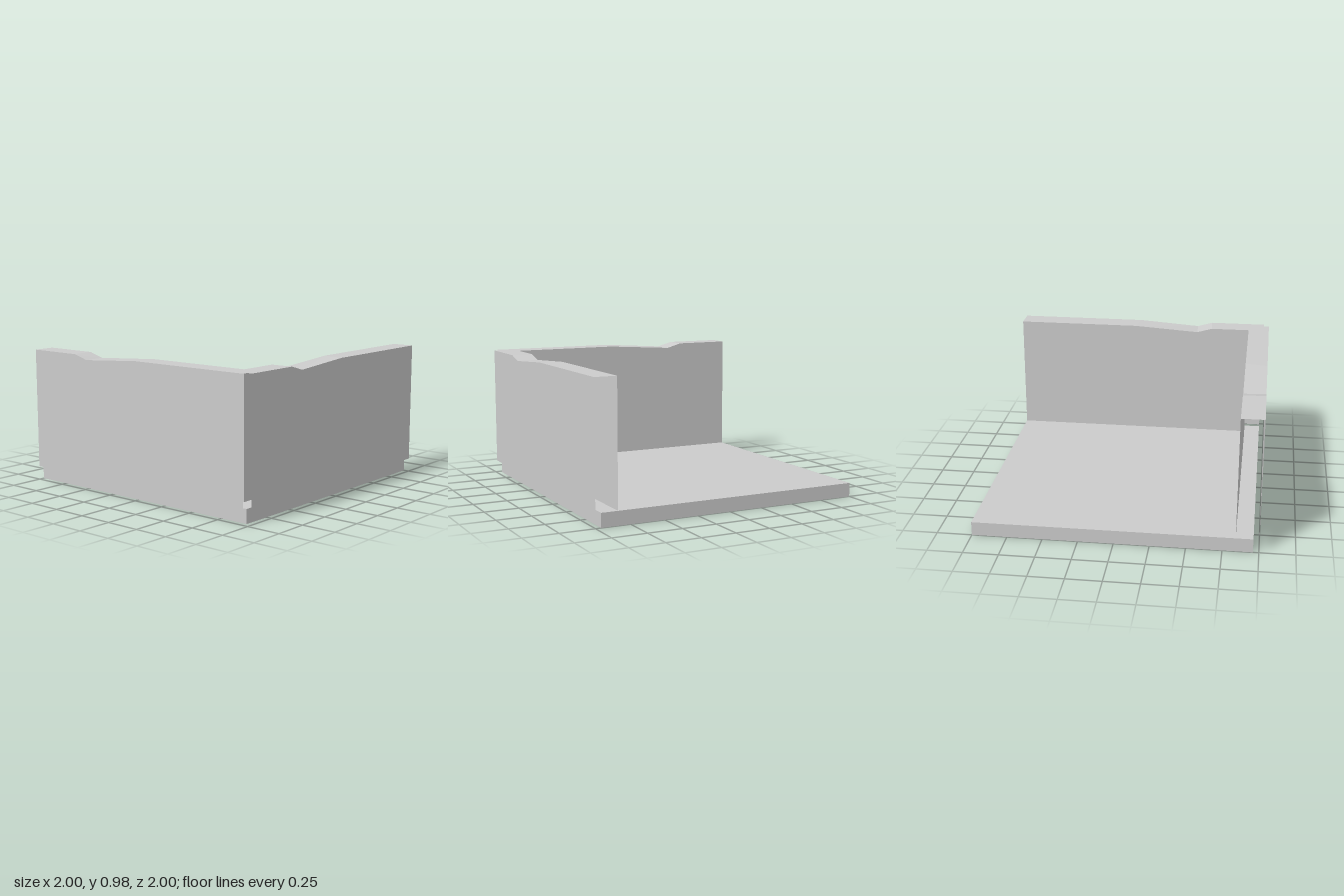
import * as THREE from 'three';

const FLOOR = 0.1, TOP = 0.98, DIP = 0.947;
const material = new THREE.MeshStandardMaterial({
  color: 0xcccccc, flatShading: true, side: THREE.DoubleSide,
});

// Ruled sheet between two polylines; counter-clockwise when b lies left of a
function sheet(name, a, b) {
  const p = [];
  for (let i = 0; i < a.length - 1; i++) {
    p.push(...a[i], ...a[i + 1], ...b[i + 1], ...a[i], ...b[i + 1], ...b[i]);
  }
  const geo = new THREE.BufferGeometry();
  geo.setAttribute('position', new THREE.Float32BufferAttribute(p, 3));
  geo.computeVertexNormals();
  const mesh = new THREE.Mesh(geo, material);
  mesh.name = name;
  return mesh;
}

// Hollow wall of thin sheets, open at its ends and underneath
function wall(name, outer, inner) {
  const drop = (pts) => pts.map(([x, , z]) => [x, FLOOR, z]);
  const back = (pts) => [...pts].reverse();
  const g = new THREE.Group();
  g.name = name;
  g.add(
    sheet(name + 'Outer', drop(outer), outer),
    sheet(name + 'Inner', drop(back(inner)), back(inner)),
    sheet(name + 'Top', outer, inner),
  );
  return g;
}

export function createModel() {
  const model = new THREE.Group();
  model.name = 'cornerWallTile';

  // Floor slab: top face and a skirt, open underneath
  const [x0, x1, z0, z1] = [-0.96, 1, -1, 0.96];
  const rim = (y) => [[x0, y, z1], [x1, y, z1], [x1, y, z0], [x0, y, z0], [x0, y, z1]];
  const floor = new THREE.Group();
  floor.name = 'floor';
  floor.add(
    sheet('floorTop', [[x0, FLOOR, z1], [x1, FLOOR, z1]], [[x0, FLOOR, z0], [x1, FLOOR, z0]]),
    sheet('floorSkirt', rim(0), rim(FLOOR)),
  );
  model.add(floor);

  // Front wall, running along x, with a worn dip in its top edge
  const heights = [TOP, TOP, DIP, TOP, TOP];
  const alongX = (z, xs) => xs.map((x, i) => [x, heights[i], z]);
  model.add(wall('frontWall',
    alongX(1, [-0.96, -0.54, -0.425, 0.04, 1]),
    alongX(0.84, [-0.84, -0.545, -0.43, 0.07, 1])));

  // Side wall, running along z
  const alongZ = (x, zs) => zs.map((z, i) => [x, heights[i], z]);
  model.add(wall('sideWall',
    alongZ(-1, [-1, -0.58, -0.46, 0.02, 0.96]),
    alongZ(-0.84, [-1, -0.585, -0.47, 0.05, 0.84])));

  // Notched top piece where the walls meet
  const corner = new THREE.Shape([
    [-0.84, -0.84], [-1, -0.96], [-0.96, -0.96], [-0.96, -1],
  ].map(([x, y]) => new THREE.Vector2(x, y)));
  const cornerTop = new THREE.Mesh(new THREE.ShapeGeometry(corner), material);
  cornerTop.name = 'cornerTop';
  cornerTop.rotation.x = -Math.PI / 2;
  cornerTop.position.y = TOP;
  model.add(cornerTop);

  return model;
}
